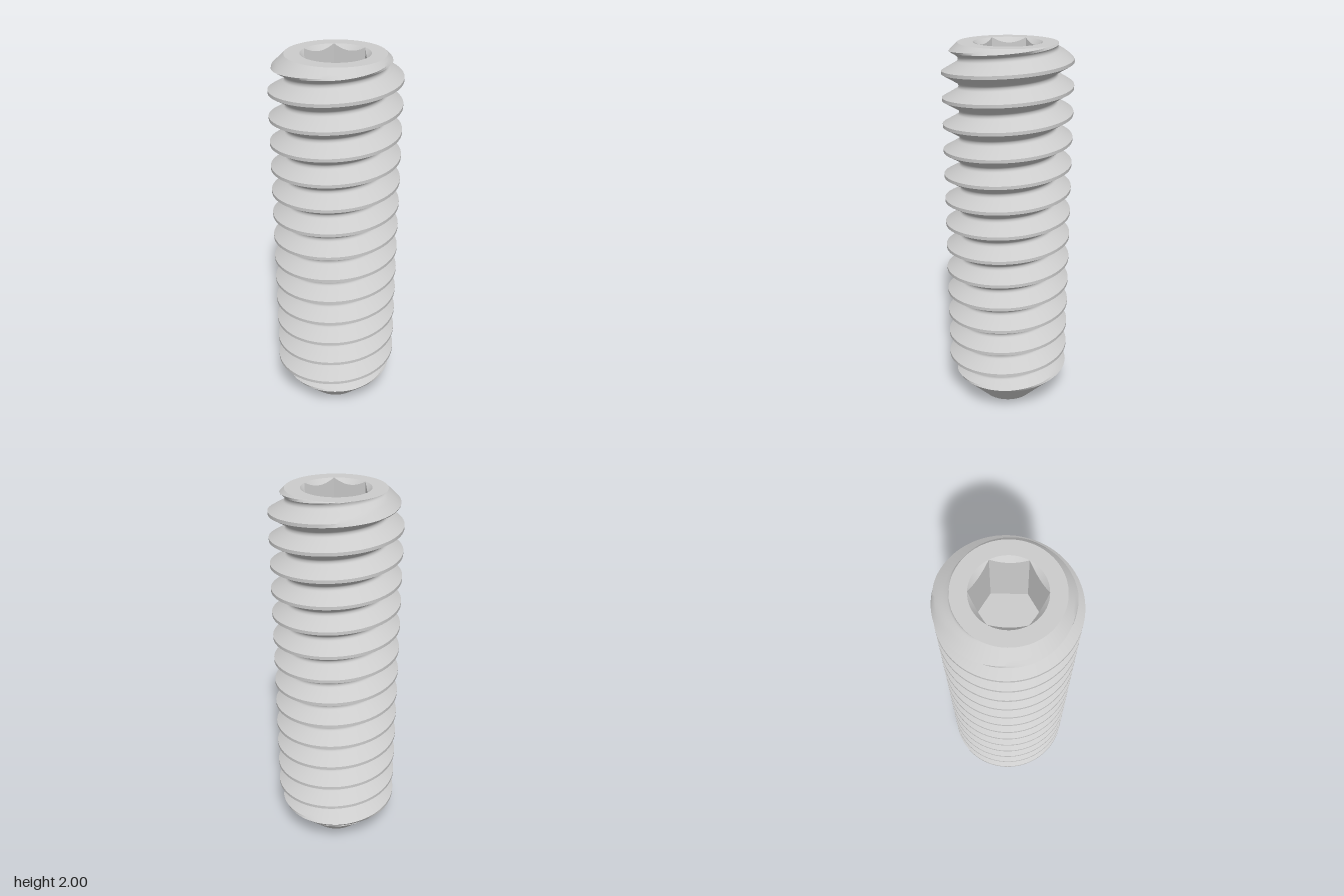
import * as THREE from 'three';
import { toCreasedNormals } from 'three/addons/utils/BufferGeometryUtils.js';

const HEIGHT = 2;
const PITCH = 2 / 15;
const CREST_START = 1.041 - 10 * PITCH; // a crest height at the front, below the tip
const COLUMNS = 96;
const TIP_RADIUS = 0.145;
const TOP_RADIUS = 0.25;
const HEX_APOTHEM = 0.15;
const HEX_CORNER = HEX_APOTHEM / Math.cos(Math.PI / 6);
const SOCKET_DEPTH = 0.32;

// Half a thread: [distance from crest centre, radius], with a rounded root
const HALF_THREAD = [
  [0.0083, 0.333], [0.02, 0.3128], [0.03, 0.2955], [0.04, 0.2781],
  [0.052, 0.2574], [0.0565, 0.2518], [0.061, 0.2497], [PITCH / 2, 0.2487],
];

const material = new THREE.MeshStandardMaterial({ color: 0xcccccc });

// Radius of the thread at a height and angle, cut by the end chamfers
function bodyRadius(y, angle) {
  const turns = (y - CREST_START) / PITCH - angle / (2 * Math.PI);
  const d = Math.abs(turns - Math.round(turns)) * PITCH;
  let r = HALF_THREAD[0][1];
  for (let i = 1; i < HALF_THREAD.length; i++) {
    const [d0, r0] = HALF_THREAD[i - 1];
    const [d1, r1] = HALF_THREAD[i];
    if (d > d0) r = r0 + (r1 - r0) * Math.min(1, (d - d0) / (d1 - d0));
  }
  return Math.min(r, TIP_RADIUS + 0.97 * y, TOP_RADIUS + 1.05 * (HEIGHT - y));
}

// Skin a list of rows, each a function angle -> [radius, height], around the y axis
function skin(name, rows) {
  const grid = rows.map((row) => {
    const ring = [];
    for (let i = 0; i <= COLUMNS; i++) {
      const angle = (i / COLUMNS) * 2 * Math.PI;
      const [r, y] = row(angle);
      ring.push(new THREE.Vector3(r * Math.sin(angle), y, r * Math.cos(angle)));
    }
    return ring;
  });
  const positions = [];
  const addTriangle = (a, b, c) => {
    if (new THREE.Triangle(a, b, c).getArea() < 1e-9) return;
    for (const p of [a, b, c]) positions.push(p.x, p.y, p.z);
  };
  for (let j = 0; j + 1 < grid.length; j++) {
    for (let i = 0; i < COLUMNS; i++) {
      const a = grid[j][i], b = grid[j][i + 1];
      const c = grid[j + 1][i + 1], d = grid[j + 1][i];
      addTriangle(a, b, c);
      addTriangle(a, c, d);
    }
  }
  let geometry = new THREE.BufferGeometry();
  geometry.setAttribute('position', new THREE.Float32BufferAttribute(positions, 3));
  // enlarge while creasing so that fine thread details are kept apart
  geometry.scale(100, 100, 100);
  geometry = toCreasedNormals(geometry, 0.6);
  geometry.scale(0.01, 0.01, 0.01);
  const mesh = new THREE.Mesh(geometry, material);
  mesh.name = name;
  return mesh;
}

// Rows that climb with the helix and stop flat at both ends
function threadRows() {
  const half = HALF_THREAD.map(([d]) => d);
  const steps = [...half, ...half.slice(0, -1).reverse().map((d) => PITCH - d)];
  const rows = [];
  for (let k = 0; k < 18; k++) {
    for (const step of steps) {
      const start = CREST_START + k * PITCH + step;
      rows.push((angle) => {
        const climb = start + (PITCH * angle) / (2 * Math.PI);
        const y = THREE.MathUtils.clamp(climb, 0, HEIGHT);
        return [bodyRadius(y, angle), y];
      });
    }
  }
  return rows;
}

// Radius of the hexagon, with flats to front and back and corners on x
function hexRadius(angle) {
  const sector = Math.PI / 3;
  return HEX_APOTHEM / Math.cos(angle - Math.round(angle / sector) * sector);
}

export function createModel() {
  const group = new THREE.Group();
  group.name = 'setScrew';

  const rim = () => [HEX_CORNER, HEIGHT];
  const chamferEdge = (a) => [hexRadius(a), HEIGHT - 1.1 * (HEX_CORNER - hexRadius(a))];
  const floorEdge = (a) => [hexRadius(a), HEIGHT - SOCKET_DEPTH];

  group.add(
    skin('threadedBody', threadRows()),
    skin('topFace', [(a) => [bodyRadius(HEIGHT, a), HEIGHT], rim]),
    skin('socketChamfer', [rim, chamferEdge]),
    skin('hexSocketWalls', [chamferEdge, floorEdge]),
    skin('socketFloor', [floorEdge, () => [0, HEIGHT - SOCKET_DEPTH]]),
    // conical hollow in the tip
    skin('cupPoint', [() => [0, 0.085], () => [TIP_RADIUS, 0]]),
  );
  return group;
}
